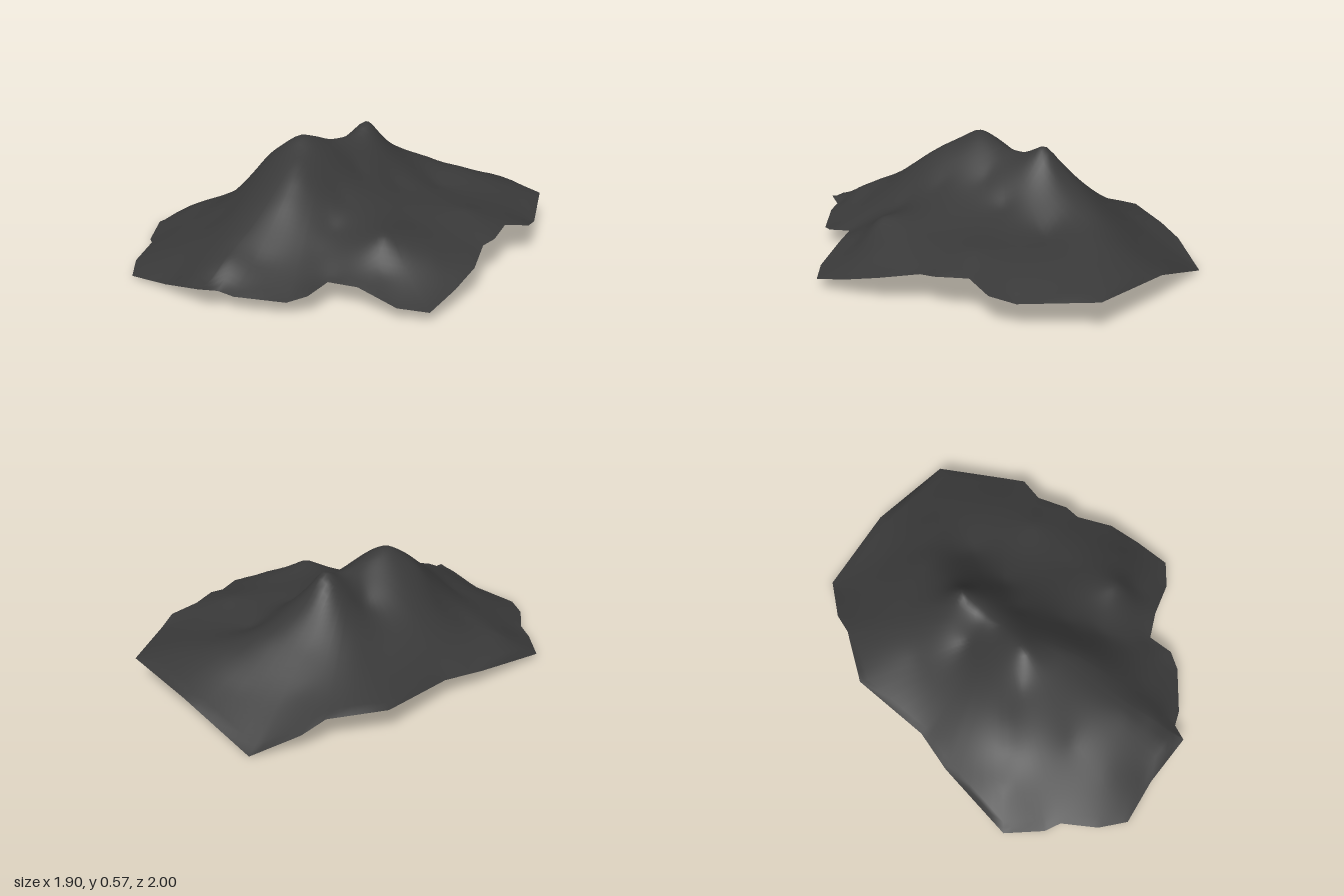
import * as THREE from 'three';

// Ragged outer edge, going round from the back via +x: [x, y, z]
const RIM = [
  [0.19, 0, -1], [0.57, 0.13, -0.81], [0.925, 0.145, -0.555], [0.95, 0.125, -0.2], [0.94, 0.15, -0.08],
  [0.84, 0.18, 0.02], [0.82, 0.17, 0.18], [0.78, 0.16, 0.25], [0.78, 0.13, 0.44], [0.73, 0.09, 0.6],
  [0.66, 0.05, 0.77], [0.52, 0.06, 0.795], [0.33, 0.11, 0.755], [0.19, 0.11, 0.75], [0.14, 0.09, 0.87],
  [0.06, 0.07, 0.92], [-0.17, 0.08, 0.96], [-0.25, 0.09, 0.95], [-0.32, 0.11, 1], [-0.55, 0.04, 0.88],
  [-0.77, 0.01, 0.8], [-0.83, 0.02, 0.66], [-0.85, 0.03, 0.47], [-0.9, 0.01, 0.4], [-0.955, 0.02, 0.2],
  [-0.71, 0.08, -0.15], [-0.56, 0.1, -0.31], [-0.365, 0.13, -0.68], [-0.11, 0.125, -0.815], [-0.02, 0.08, -0.9],
];

// Peaks, spurs and valleys that steer the slopes
const FEATURES = [
  [-0.17, 0.565, 0.14], [-0.11, 0.54, 0.06], [-0.03, 0.505, -0.06], [0.06, 0.555, -0.225], // summit ridge
  [-0.16, 0.53, 0.22], [-0.11, 0.48, 0.32], [-0.09, 0.43, 0.4], [-0.1, 0.36, 0.5],
  [-0.2, 0.285, 0.61], [-0.27, 0.24, 0.7], [-0.26, 0.175, 0.84],                       // front left spur
  [0.1, 0.4, 0.06], [0.1, 0.34, 0.3], [0.12, 0.25, 0.48], [0.1, 0.19, 0.62], [0.08, 0.14, 0.74], [-0.12, 0.17, 0.76], // front gully
  [0.22, 0.3, 0.27], [0.38, 0.26, 0.53], [0.42, 0.15, 0.64], [0.6, 0.18, 0.5], [0.45, 0.24, 0.25], // front right knob
  [0.26, 0.31, -0.05], [0.45, 0.25, 0], [0.65, 0.235, 0.03], [0.14, 0.47, -0.22],      // right plateau
  [0.12, 0.445, -0.31], [0.2, 0.37, -0.39], [0.3, 0.312, -0.48], [0.5, 0.25, -0.53], [0.72, 0.2, -0.5],
  [0.42, 0.24, -0.28], [0.33, 0.16, -0.72],                                            // back right ridge
  [0.05, 0.3, -0.5], [0.05, 0.17, -0.7], [-0.25, 0.23, -0.4], [-0.12, 0.39, -0.16],    // back slope
  [-0.33, 0.455, 0.16], [-0.46, 0.29, 0.12], [-0.57, 0.2, 0.15], [-0.76, 0.125, 0.16], // left slope
  [-0.72, 0.11, 0.35], [-0.47, 0.22, 0.45], [-0.58, 0.12, 0.65],
];

const kernel = (dx, dz) => Math.sqrt(dx * dx + dz * dz + 0.001);

// Solves for kernel weights so the surface passes through every control point
function makeHeight(points) {
  const n = points.length;
  const m = points.map(p => [...points.map(q => kernel(p[0] - q[0], p[2] - q[2])), p[1]]);
  for (let c = 0; c < n; c++) {
    let best = c;
    for (let r = c + 1; r < n; r++) if (Math.abs(m[r][c]) > Math.abs(m[best][c])) best = r;
    [m[c], m[best]] = [m[best], m[c]];
    for (let r = 0; r < n; r++) {
      if (r === c) continue;
      const f = m[r][c] / m[c][c];
      for (let k = c; k <= n; k++) m[r][k] -= f * m[c][k];
    }
  }
  const w = m.map((row, i) => row[n] / row[i]);
  return (x, z) => points.reduce((s, p, i) => s + w[i] * kernel(x - p[0], z - p[2]), 0);
}

// Concentric rings shrinking from the rim to a point below the summit ridge
function slopeGeometry(rings = 36, split = 5) {
  const height = makeHeight([...RIM, ...FEATURES]);
  const edge = RIM.flatMap((p, i) => {
    const a = new THREE.Vector3(...p), b = new THREE.Vector3(...RIM[(i + 1) % RIM.length]);
    return Array.from({ length: split }, (_, k) => a.clone().lerp(b, k / split));
  });
  const n = edge.length, cx = -0.05, cz = 0;
  const positions = [cx, height(cx, cz), cz], index = [];
  for (let r = 1; r <= rings; r++) {
    const t = r / rings;
    for (const e of edge) {
      const x = cx + (e.x - cx) * t, z = cz + (e.z - cz) * t;
      positions.push(x, r === rings ? e.y : Math.max(0, height(x, z)), z);
    }
  }
  const at = (r, j) => 1 + (r - 1) * n + (j % n);
  for (let j = 0; j < n; j++) {
    index.push(0, at(1, j + 1), at(1, j));
    for (let r = 1; r < rings; r++) {
      index.push(at(r, j), at(r, j + 1), at(r + 1, j + 1), at(r, j), at(r + 1, j + 1), at(r + 1, j));
    }
  }
  const g = new THREE.BufferGeometry();
  g.setAttribute('position', new THREE.Float32BufferAttribute(positions, 3));
  g.setIndex(index);
  g.computeVertexNormals();
  return g;
}

export function createModel() {
  const group = new THREE.Group();
  group.name = 'mountain';
  const rock = new THREE.MeshStandardMaterial({ color: 0x393939, side: THREE.DoubleSide });
  const slopes = new THREE.Mesh(slopeGeometry(), rock);
  slopes.name = 'mountainSlopes';
  group.add(slopes);
  return group;
}
